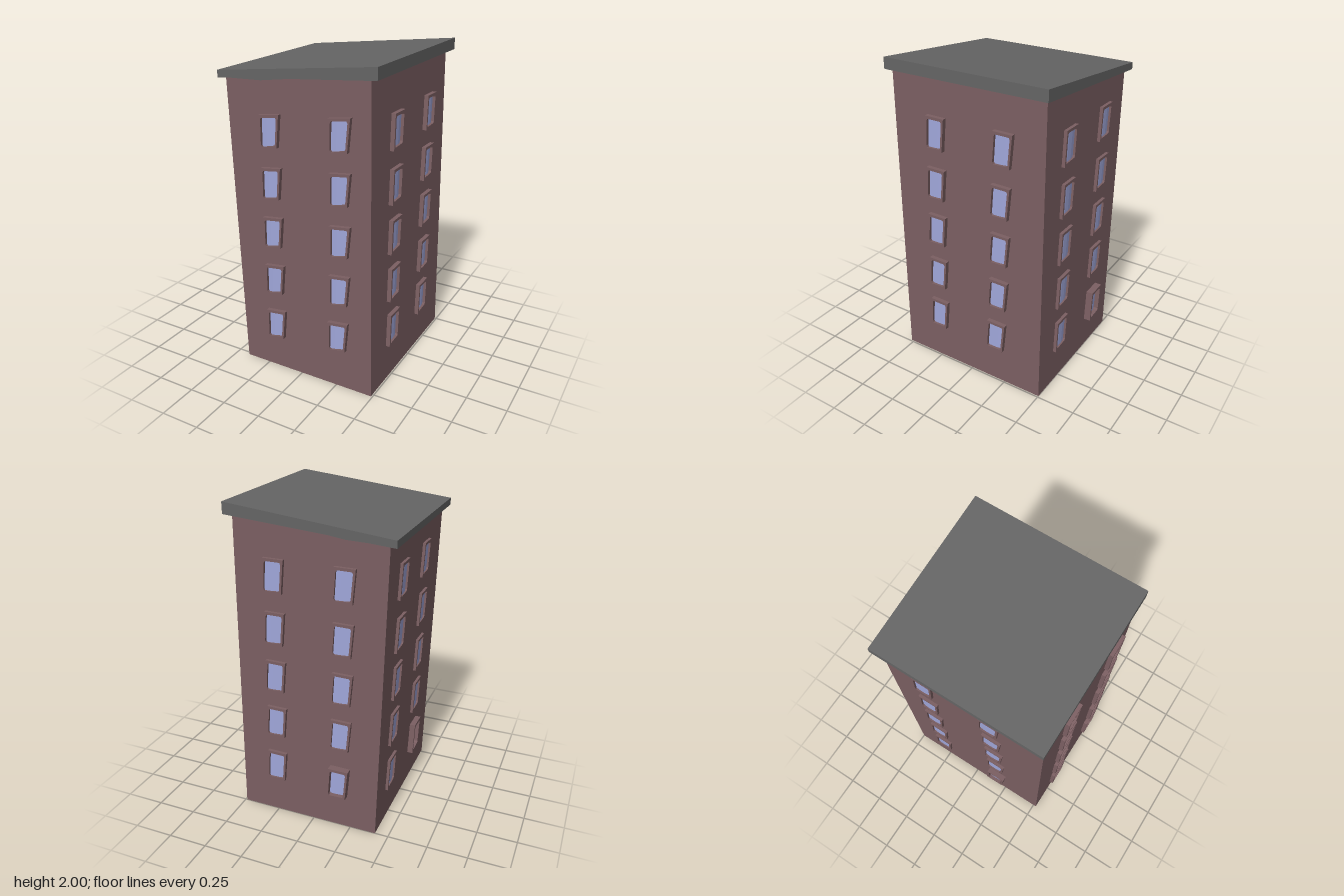
import * as THREE from 'three';

const wall = new THREE.MeshStandardMaterial({ color: 0x7b5f62 });
wall.name = 'brickRed';
const roofGrey = new THREE.MeshStandardMaterial({ color: 0x656565 });
roofGrey.name = 'roofGrey';
const glassBlue = new THREE.MeshStandardMaterial({ color: 0xa0a7da });
glassBlue.name = 'glassBlue';

// The tower leans: side wall positions depend on height
const rightX = (y) => 0.49 - 0.0155 * y;
const leftX = (y) => -0.415 - 0.027 * y;
const eaveY = (x) => 1.845 + (x + 0.51) * 0.0837;

// Moves every vertex by a rule, then facets the result
function warp(geometry, rule) {
  const g = geometry.index ? geometry.toNonIndexed() : geometry;
  const p = g.attributes.position;
  for (let i = 0; i < p.count; i++) p.setXYZ(i, ...rule(p.getX(i), p.getY(i), p.getZ(i)));
  g.computeVertexNormals();
  return g;
}

function add(parent, name, geometry, material) {
  const mesh = new THREE.Mesh(geometry, material);
  mesh.name = name;
  parent.add(mesh);
}

// Skewed window outlines: bottom left, bottom right, top right, top left
const frontSkew = [[-0.067, -0.108], [0.054, -0.083], [0.072, 0.113], [-0.064, 0.097]];
const sideSkew = [[-0.072, -0.105], [0.053, -0.1], [0.072, 0.104], [-0.056, 0.105]];

// Each face maps (u across, v up, d outward) to the model's space
const faces = [
  {
    name: 'front', skew: frontSkew, depth: 0.025,
    map: (u, v, d) => [u, v, 0.52 + d],
    columns: [
      { u: [-0.172, -0.172, -0.172, -0.172, -0.172], v: [0.31, 0.625, 0.94, 1.25, 1.565] },
      { u: [0.265, 0.275, 0.28, 0.28, 0.28], v: [0.35, 0.665, 0.98, 1.295, 1.605] },
    ],
  },
  {
    name: 'leftSide', skew: sideSkew, depth: 0.026,
    map: (u, v, d) => [rightX(v) + d, v, -u],
    columns: [
      { u: [-0.245, -0.24, -0.235, -0.23, -0.222], v: [0.345, 0.655, 0.965, 1.275, 1.595] },
      { u: [0.19, 0.205, 0.215, 0.22, 0.235], v: [0.345, 0.655, 0.97, 1.28, 1.6] },
    ],
  },
  {
    name: 'back', skew: sideSkew, depth: 0.02,
    map: (u, v, d) => [-u, v, -0.5 - d],
    columns: [
      { u: [-0.245, -0.235, -0.23, -0.225, -0.22], v: [0.34, 0.66, 0.97, 1.28, 1.6] },
      { u: [0.175, 0.185, 0.195, 0.2, 0.21], v: [0.325, 0.655, 0.965, 1.275, 1.6], proud: 0.044 },
    ],
  },
  {
    name: 'rightSide', skew: sideSkew, depth: 0.017,
    map: (u, v, d) => [leftX(v) - d, v, u],
    columns: [
      { u: [-0.265, -0.262, -0.26, -0.257, -0.255], v: [0.325, 0.65, 0.965, 1.27, 1.595] },
      { u: [0.19, 0.186, 0.182, 0.178, 0.175], v: [0.33, 0.645, 0.96, 1.275, 1.595], proud: 0.036 },
    ],
  },
];

// Four corners shrunk by sx, sy with cut corners
function cutOutline(corners, sx, sy, cut) {
  const c = corners.map(([x, y]) => new THREE.Vector2(x * sx, y * sy));
  return c.flatMap((p, i) => [
    p.clone().lerp(c[(i + 3) % 4], cut),
    p.clone().lerp(c[(i + 1) % 4], cut),
  ]);
}

function makeWindow(face, u, v, depth) {
  const group = new THREE.Group();
  group.name = face.name + 'Window';
  const place = (x, y, z) => face.map(u + x, v + y, z);

  // Surround with an opening
  const shape = new THREE.Shape(face.skew.map(([x, y]) => new THREE.Vector2(x, y)));
  shape.holes.push(new THREE.Path(cutOutline(face.skew, 0.79, 0.84, 0.06).reverse()));
  const frame = new THREE.ExtrudeGeometry(shape, { depth: depth + 0.004, bevelEnabled: false });
  add(group, 'windowFrame', warp(frame, (x, y, z) => place(x, y, z - 0.004)), wall);

  // Gently bowed pane set into the opening
  const [bl, br, tr, tl] = face.skew;
  const pane = warp(new THREE.PlaneGeometry(1, 1, 3, 1), (x, y) => {
    const s = x + 0.5, t = y + 0.5;
    const mix = (k) => (bl[k] * (1 - s) + br[k] * s) * (1 - t) + (tl[k] * (1 - s) + tr[k] * s) * t;
    const bow = 0.004 * (1 - 4 * x * x);
    return place(mix(0) * 0.82, mix(1) * 0.86, depth * 0.3 + bow);
  });
  add(group, 'windowPane', pane, glassBlue);
  return group;
}

export function createModel() {
  const model = new THREE.Group();
  model.name = 'apartmentTower';

  // Leaning walls with a sloping top
  const body = warp(new THREE.BoxGeometry(1, 1, 1), (x, y, z) => {
    const vx = x < 0 ? (y < 0 ? leftX(0) : leftX(1.85)) : (y < 0 ? rightX(0) : rightX(1.94));
    return [vx, y < 0 ? 0 : eaveY(vx) + 0.01, z < 0 ? -0.5 : 0.52];
  });
  add(model, 'walls', body, wall);

  // Sloping roof slab, thicker at its high end
  const roof = warp(new THREE.BoxGeometry(1, 1, 1), (x, y, z) => {
    const vx = x < 0 ? -0.51 : 0.505;
    const vy = y < 0 ? eaveY(vx) : (x < 0 ? 1.888 : 2);
    return [vx, vy, z < 0 ? -0.53 : 0.54];
  });
  add(model, 'roof', roof, roofGrey);

  // Shallow sag under the low end of the roof
  const sag = new THREE.Shape([
    new THREE.Vector2(-0.47, eaveY(-0.47)),
    new THREE.Vector2(-0.22, eaveY(-0.22) - 0.013),
    new THREE.Vector2(0, eaveY(0)),
  ]);
  const soffit = new THREE.ExtrudeGeometry(sag, { depth: 1.04, bevelEnabled: false });
  soffit.translate(0, 0, -0.51);
  add(model, 'soffit', soffit, roofGrey);

  // Two columns of five windows on every face
  for (const face of faces) {
    for (const column of face.columns) {
      column.u.forEach((u, i) => {
        const depth = i === 0 && column.proud ? column.proud : face.depth;
        model.add(makeWindow(face, u, column.v[i], depth));
      });
    }
  }
  return model;
}
